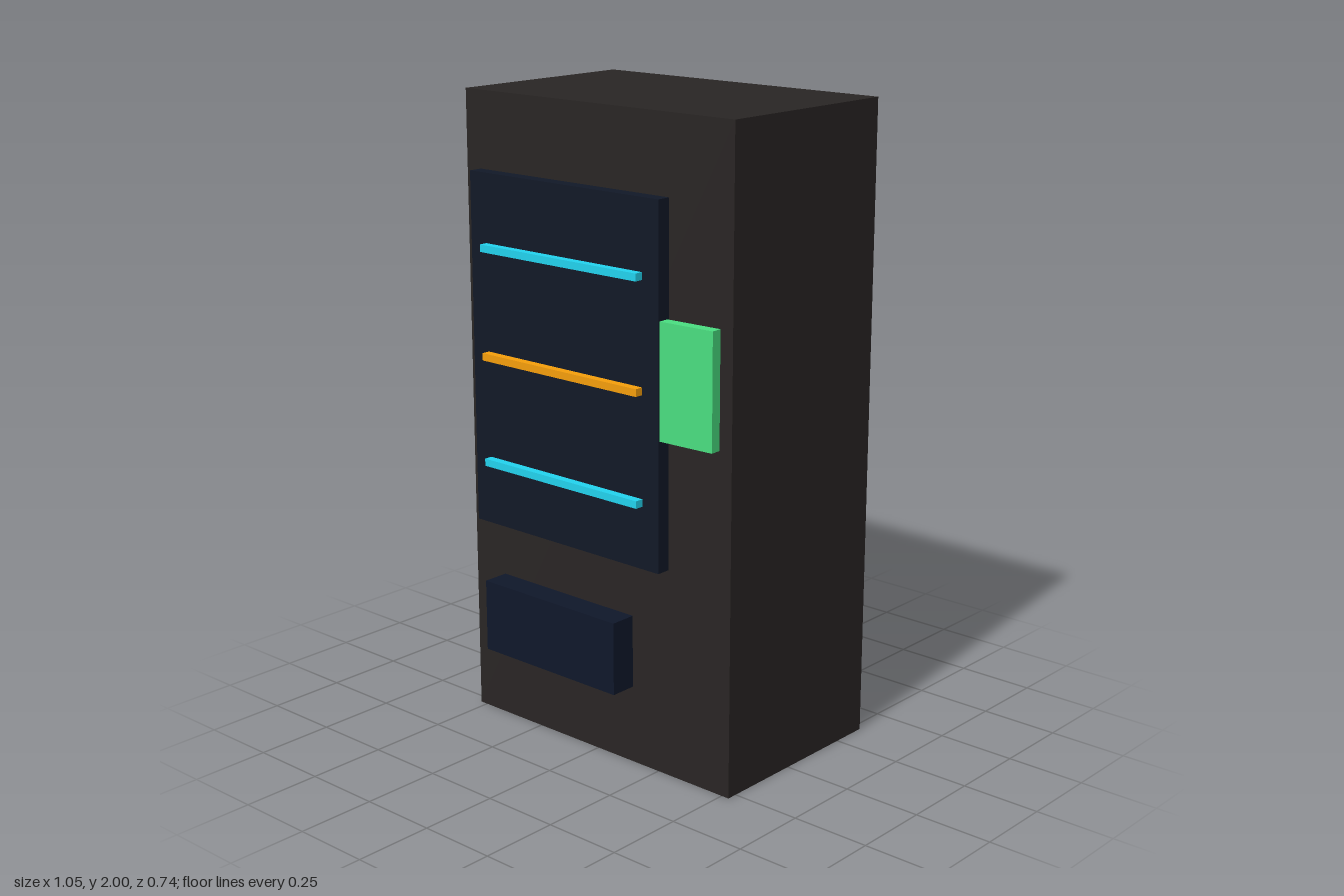
import * as THREE from 'three';

// Box given by its [min, max] extent on each axis
function addBox(parent, name, color, [x0, x1], [y0, y1], [z0, z1]) {
  const mesh = new THREE.Mesh(
    new THREE.BoxGeometry(x1 - x0, y1 - y0, z1 - z0),
    new THREE.MeshStandardMaterial({ color })
  );
  mesh.name = name;
  mesh.position.set((x0 + x1) / 2, (y0 + y1) / 2, (z0 + z1) / 2);
  parent.add(mesh);
  return mesh;
}

export function createModel() {
  const model = new THREE.Group();
  model.name = 'vendingMachine';

  // Main body
  addBox(model, 'cabinet', 0x292524, [-0.526, 0.526], [0, 2], [-0.368, 0.283]);

  // Display window, standing just clear of the cabinet front
  addBox(model, 'displayWindow', 0x111827, [-0.464, 0.293], [0.66, 1.763], [0.287, 0.332]);

  // Lit shelf strips
  const strips = new THREE.Group();
  strips.name = 'shelfStrips';
  [0x22d3ee, 0xf59e0b, 0x22d3ee].forEach((color, i) => {
    const y = 0.865 + i * 0.3365;
    addBox(strips, 'shelfStrip', color, [-0.4, 0.231], [y - 0.0115, y + 0.0115], [0.331, 0.359]);
  });
  model.add(strips);

  // Dispensing tray
  addBox(model, 'dispensingTray', 0x0f172a, [-0.4, 0.146], [0.247, 0.477], [0.282, 0.368]);

  // Control panel, turned slightly outwards
  const panel = addBox(model, 'controlPanel', 0x4ade80, [0.305, 0.493], [1.068, 1.42], [0.3015, 0.3365]);
  panel.rotation.y = 0.05;

  return model;
}
